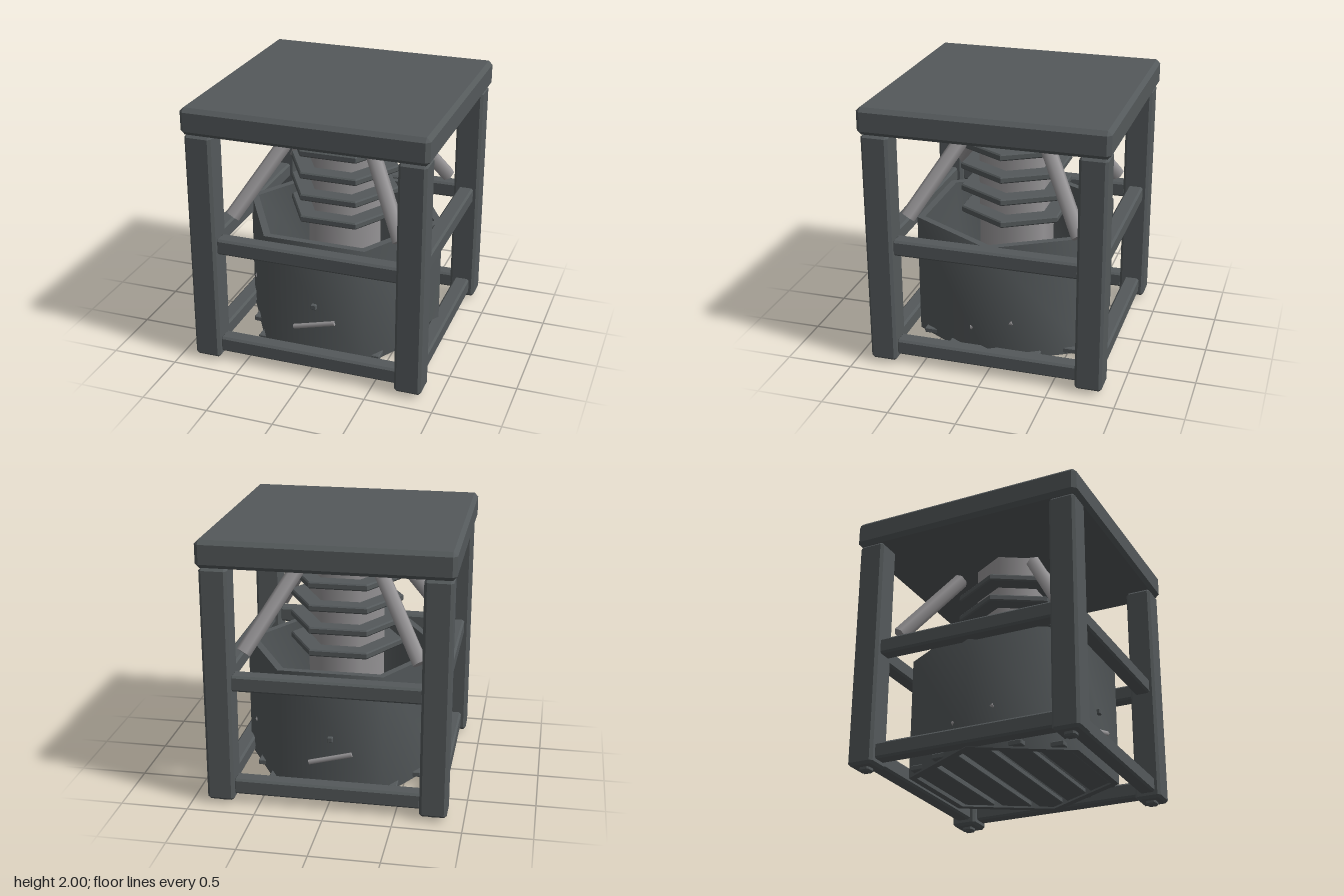
import * as THREE from 'three';
import { toCreasedNormals } from 'three/addons/utils/BufferGeometryUtils.js';
import { ConvexGeometry } from 'three/addons/geometries/ConvexGeometry.js';

const HEX = Math.PI / 6; // turns six-sided parts so that corners point along x

// Box with every edge chamfered by c
function chamferBox(w, h, d, c) {
  const pts = [];
  for (const x of [-1, 1]) for (const y of [-1, 1]) for (const z of [-1, 1]) {
    const [a, b, e] = [w / 2, h / 2, d / 2];
    pts.push(
      new THREE.Vector3(x * a, y * (b - c), z * (e - c)),
      new THREE.Vector3(x * (a - c), y * b, z * (e - c)),
      new THREE.Vector3(x * (a - c), y * (b - c), z * e));
  }
  return new ConvexGeometry(pts);
}

// Rod between two points
function rod(a, b, r, sides) {
  const dir = new THREE.Vector3().subVectors(b, a);
  const geo = new THREE.CylinderGeometry(r, r, dir.length(), sides);
  geo.applyQuaternion(new THREE.Quaternion().setFromUnitVectors(
    new THREE.Vector3(0, 1, 0), dir.clone().normalize()));
  const mid = a.clone().add(b).multiplyScalar(0.5);
  return geo.translate(mid.x, mid.y, mid.z);
}

export function createModel() {
  const group = new THREE.Group();
  const iron = new THREE.MeshStandardMaterial({ color: 0x54595b });
  iron.name = 'darkIron';
  const steel = new THREE.MeshStandardMaterial({ color: 0x979597 });
  steel.name = 'lightSteel';

  function add(name, geo, mat, x = 0, y = 0, z = 0, parent = group) {
    const mesh = new THREE.Mesh(geo, mat);
    mesh.name = name;
    mesh.position.set(x, y, z);
    parent.add(mesh);
    return mesh;
  }

  // Top plate
  add('topPlate', chamferBox(1.8, 0.2, 1.8, 0.03), iron, 0, 1.9, 0);

  // Each side repeats a post, foot, rails, brace, bolt and handle
  const post = chamferBox(0.2, 1.77, 0.2, 0.02);
  const foot = chamferBox(0.08, 0.05, 0.08, 0.012);
  const rail = chamferBox(1.38, 0.12, 0.12, 0.015);
  const brace = rod(new THREE.Vector3(0.64, 1.11, 0.64), new THREE.Vector3(0.31, 1.655, 0.31), 0.058, 6);
  const bolt = chamferBox(0.042, 0.042, 0.05, 0.006);
  const handle = rod(new THREE.Vector3(-0.16, 0.295, 0.672), new THREE.Vector3(0.16, 0.38, 0.672), 0.019, 6);
  for (let i = 0; i < 4; i++) {
    const side = new THREE.Group();
    side.name = 'side' + (i + 1);
    side.rotation.y = i * Math.PI / 2;
    group.add(side);
    add('post', post, iron, 0.78, 0.915, 0.78, side);
    add('foot', foot, iron, 0.78, 0.025, 0.78, side);
    add('lowerRail', rail, iron, 0, 0.13, 0.78, side);
    add('upperRail', rail, iron, 0, 0.94, 0.78, side);
    add('brace', brace, steel, 0, 0, 0, side);
    add('bolt', bolt, iron, 0, 0.49, 0.667, side);
    add('handle', handle, steel, 0, 0, 0, side);
  }

  // Six-sided open bucket with a thick wall
  const wall = [[0.77, 0.065], [0.77, 1], [0.71, 1], [0.71, 0.065], [0.77, 0.065]]
    .map(([r, y]) => new THREE.Vector2(r, y));
  add('bucket', toCreasedNormals(new THREE.LatheGeometry(wall, 6, HEX), 1.15), iron);

  // Slatted bucket floor, slat ends just passing the wall
  for (let i = -2; i <= 2; i++) {
    const z = i * 0.25;
    const length = 2 * (0.77 - Math.abs(z) * 0.577);
    add('floorSlat', chamferBox(length, 0.04, 0.2, 0.006), iron, 0, 0.1, z);
  }

  // Press shaft with collars
  add('shaft', new THREE.CylinderGeometry(0.29, 0.29, 1.31, 6, 1, false, HEX), steel, 0, 1.155, 0);
  const edge = [[0, -0.026], [0.42, -0.026], [0.43, -0.016], [0.43, 0.016], [0.42, 0.026], [0, 0.026]]
    .map(([r, y]) => new THREE.Vector2(r, y));
  const collar = toCreasedNormals(new THREE.LatheGeometry(edge, 6, HEX), 0.5);
  for (let i = 0; i < 4; i++) add('collar', collar, iron, 0, 1.035 + i * 0.174, 0);

  return group;
}
